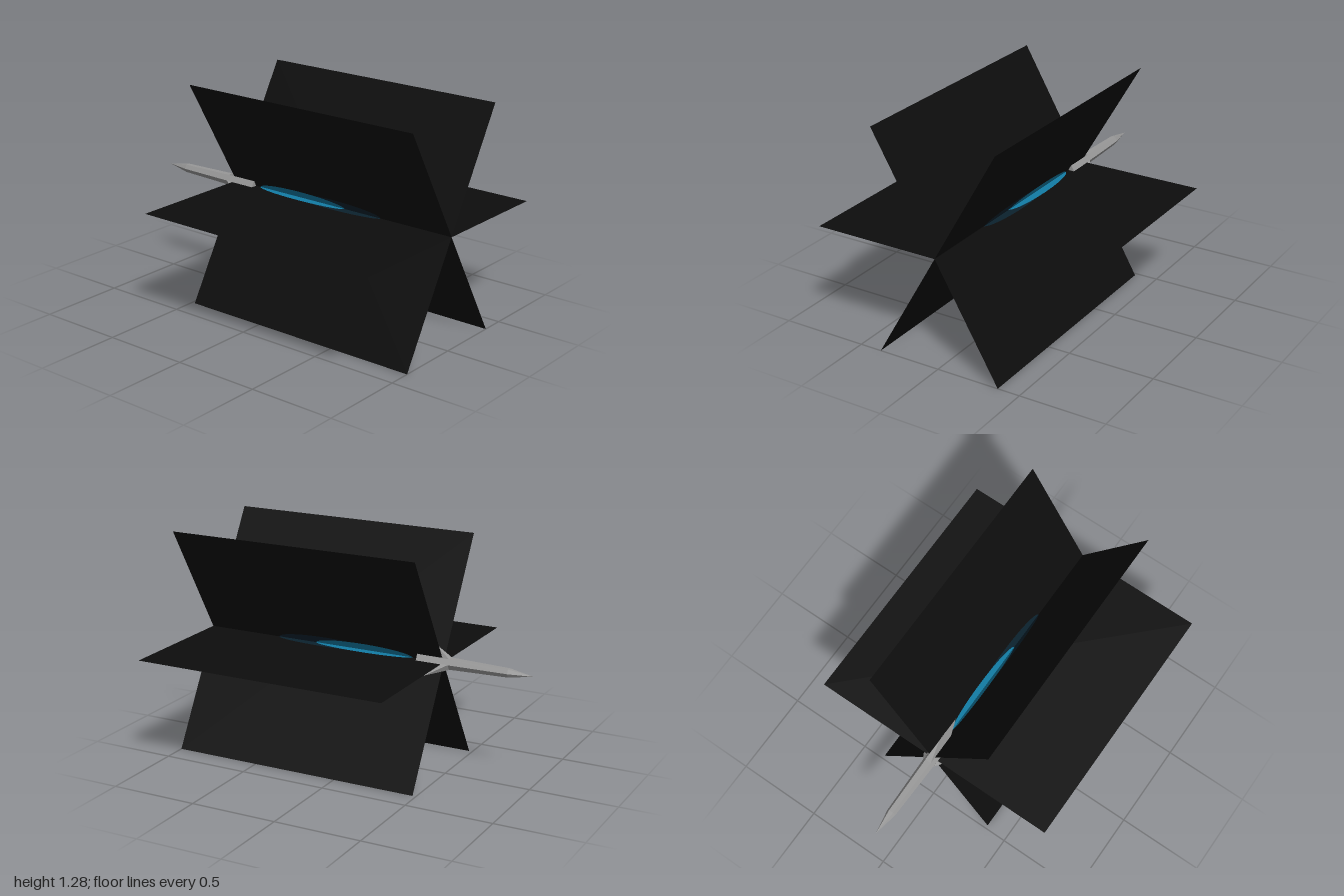
import * as THREE from 'three';

const AXIS_Y = 0.641;

const material = (name, color, extra = {}) => {
  const m = new THREE.MeshStandardMaterial({ color, ...extra });
  m.name = name;
  return m;
};

export function createModel() {
  const metal = material('grey metal', 0x999999, { flatShading: true });
  const black = material('black sheet', 0x0d0d0d, { side: THREE.DoubleSide });
  const blue = material('bright flame blue', 0x127ca5, { side: THREE.DoubleSide });
  const dimBlue = material('dim flame blue', 0x0b212d, { side: THREE.DoubleSide });

  const model = new THREE.Group();
  model.name = 'rocketWithExhaust';
  const add = (parent, name, geometry, mat) => {
    const mesh = new THREE.Mesh(geometry, mat);
    mesh.name = name;
    parent.add(mesh);
    return mesh;
  };

  // Everything is built around the x axis, then lifted
  const rocket = new THREE.Group();
  rocket.name = 'rocket';
  rocket.position.y = AXIS_Y;
  model.add(rocket);

  // Six-sided hull sections: front x, rear x, front radius, rear radius
  const section = (name, x0, x1, r0, r1, open) => {
    const g = new THREE.CylinderGeometry(r0, r1, x1 - x0, 6, 1, open);
    g.rotateZ(Math.PI / 2);
    g.translate((x0 + x1) / 2, 0, 0);
    add(rocket, name, g, metal);
  };
  section('noseCone', -1, -0.86, 0, 0.026, true);
  section('body', -0.86, -0.5, 0.026, 0.035, true);
  section('tail', -0.5, -0.33, 0.035, 0.038, false);

  // Swept fin: thick at the root, running out to a sharp outer edge
  const finGeometry = () => {
    const rootY = 0.03, tipY = 0.113, t = 0.019;
    const a = [-0.52, rootY, t], b = [-0.33, rootY, t];
    const c = [-0.33, rootY, -t], d = [-0.52, rootY, -t];
    const e = [-0.41, tipY, 0], f = [-0.255, tipY, 0];
    const faces = [a, b, f, a, f, e, c, d, e, c, e, f, b, c, f, d, a, e, a, d, c, a, c, b];
    const g = new THREE.BufferGeometry();
    g.setAttribute('position', new THREE.Float32BufferAttribute(faces.flat(), 3));
    g.computeVertexNormals();
    return g;
  };
  for (let i = 0; i < 3; i++) {
    add(rocket, 'fin', finGeometry(), metal).rotation.x = (i * Math.PI * 2) / 3;
  }

  // Exhaust: three crossed sheets with flame ovals on both faces
  const oval = (x0, x1, halfWidth, z) => {
    const g = new THREE.CircleGeometry(1, 40);
    g.scale((x1 - x0) / 2, halfWidth, 1);
    g.translate((x0 + x1) / 2, 0, z);
    return g;
  };
  for (let i = 0; i < 3; i++) {
    const sheet = new THREE.Group();
    sheet.name = 'exhaustSheet';
    sheet.position.y = AXIS_Y;
    sheet.rotation.x = Math.PI / 2 + (i * Math.PI) / 3;
    const plane = new THREE.PlaneGeometry(1.48, 1.48);
    plane.translate(0.26, 0, 0);
    add(sheet, 'sheet', plane, black);
    for (const side of [1, -1]) {
      add(sheet, 'outerFlame', oval(-0.08, 0.55, 0.053, side * 0.001), dimBlue);
      add(sheet, 'innerFlame', oval(-0.295, 0.31, 0.05, side * 0.002), blue);
    }
    model.add(sheet);
  }
  return model;
}
